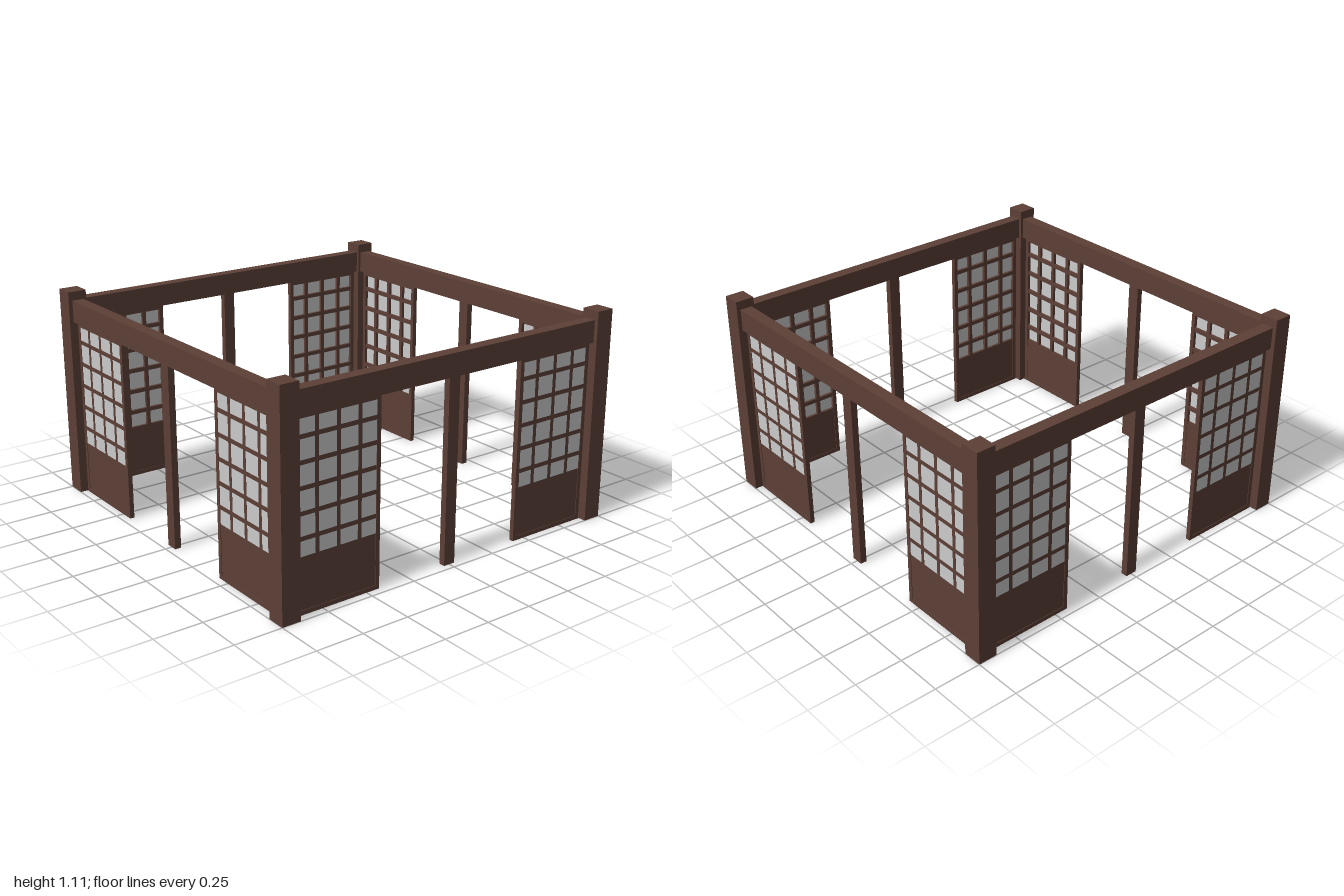
import * as THREE from 'three';

const wood = new THREE.MeshStandardMaterial({ color: 0x5d4037 });
const paper = new THREE.MeshStandardMaterial({ color: 0xcccccc });

const OFF = 0.947;        // distance of each wall's centre line from the middle
const BEAM_Y = 0.95;      // underside of the beams
const INNER = 0.427, OUTER = 0.894;   // screen's extent along the wall
const FRAME = 0.022, DEPTH = 0.024;
const RAIL_Y = 0.283;     // top of the solid lower board

// Box given by its limits in x and y, and its centre and depth in z
function box(parent, name, x0, x1, y0, y1, z, depth, material = wood) {
  const mesh = new THREE.Mesh(new THREE.BoxGeometry(x1 - x0, y1 - y0, depth), material);
  mesh.position.set((x0 + x1) / 2, (y0 + y1) / 2, z);
  mesh.name = name;
  parent.add(mesh);
  return mesh;
}

// Lattice screen, with paper close to the outer (+z) face
function createScreen(side) {
  const screen = new THREE.Group();
  screen.name = side > 0 ? 'leftScreen' : 'rightScreen';
  const x0 = side > 0 ? INNER : -OUTER;
  const x1 = side > 0 ? OUTER : -INNER;
  const a = x0 + FRAME, b = x1 - FRAME;

  // Outer frame
  box(screen, 'stile', x0, a, 0, BEAM_Y, 0, DEPTH);
  box(screen, 'stile', b, x1, 0, BEAM_Y, 0, DEPTH);
  box(screen, 'bottomRail', a, b, 0, FRAME, 0, DEPTH);
  box(screen, 'topRail', a, b, 0.926, BEAM_Y, 0, DEPTH);

  // Lower board, slightly recessed
  box(screen, 'lowerBoard', a, b, FRAME, RAIL_Y, 0, DEPTH - 0.006);

  // Lattice bars
  const mid = (x0 + x1) / 2;
  for (let i = -1; i <= 1; i++) {
    const x = mid + i * 0.118;
    box(screen, 'verticalBar', x - 0.0105, x + 0.0105, RAIL_Y, 0.926, 0, DEPTH - 0.004);
  }
  for (let i = 0; i < 5; i++) {
    const y = 0.369 + i * 0.1185;
    box(screen, 'horizontalBar', a, b, y - 0.011, y + 0.011, 0, DEPTH - 0.004);
  }

  // Paper sheet
  box(screen, 'paper', a, b, RAIL_Y, 0.926, DEPTH / 2 - 0.0045, 0.004, paper);
  return screen;
}

// One wall: beam, middle pole and a screen at each end
function createWall() {
  const wall = new THREE.Group();
  box(wall, 'beam', -0.91, 0.91, BEAM_Y, 1.065, 0, 0.064);
  box(wall, 'middlePole', -0.032, 0.032, 0, BEAM_Y, 0, 0.034);
  wall.add(createScreen(1), createScreen(-1));
  wall.position.z = OFF;
  return wall;
}

export function createModel() {
  const model = new THREE.Group();
  model.name = 'screenPavilion';

  ['frontWall', 'leftWall', 'backWall', 'rightWall'].forEach((name, i) => {
    const side = new THREE.Group();
    side.name = name;
    side.add(createWall());
    side.rotation.y = i * Math.PI / 2;
    model.add(side);
  });

  // Corner posts
  for (const sx of [-1, 1]) {
    for (const sz of [-1, 1]) {
      box(model, 'cornerPost', sx * 0.95 - 0.05, sx * 0.95 + 0.05, 0, 1.112, sz * 0.95, 0.1);
    }
  }
  return model;
}
